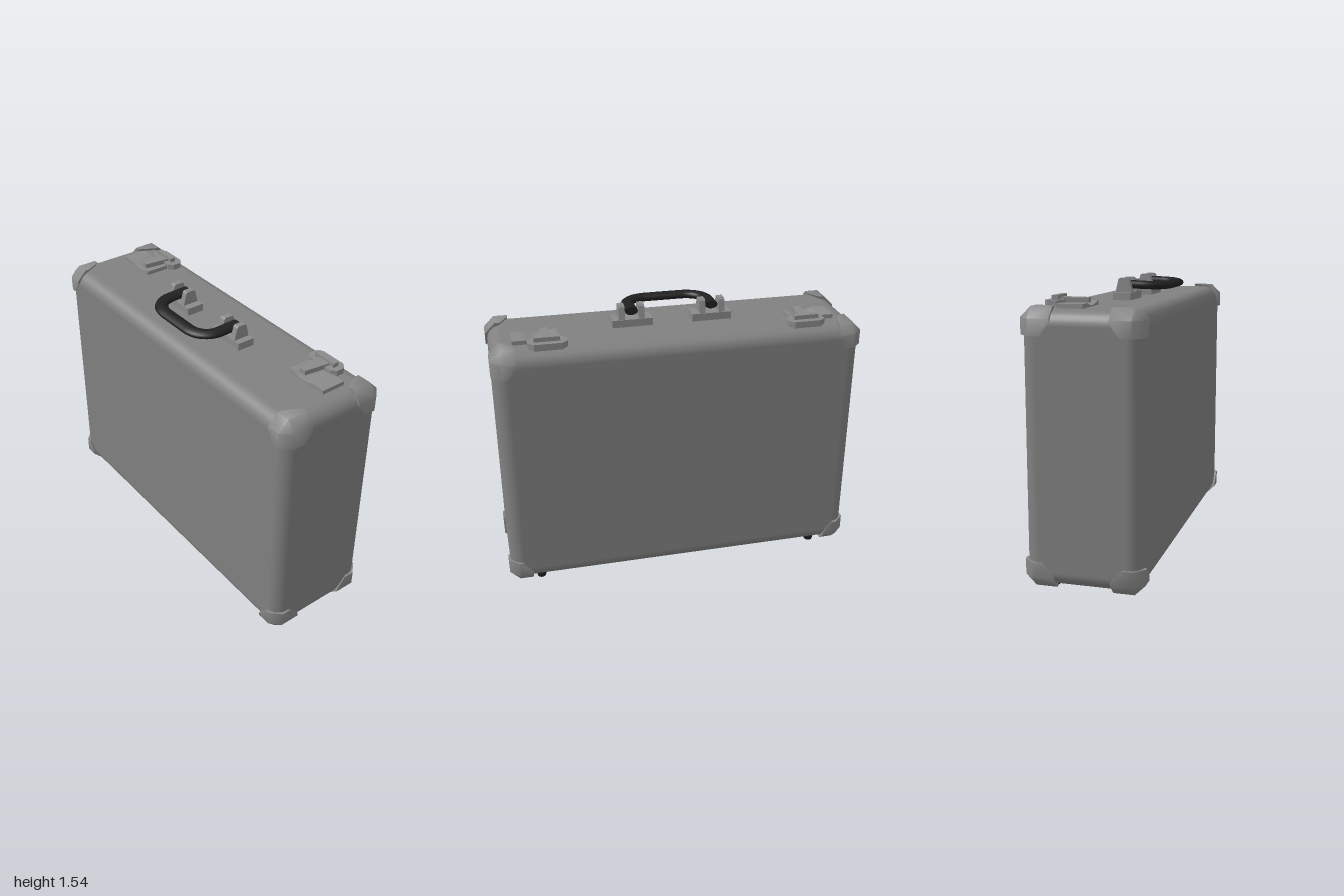
import * as THREE from 'three';
import { toCreasedNormals } from 'three/addons/utils/BufferGeometryUtils.js';
import { RoundedBoxGeometry } from 'three/addons/geometries/RoundedBoxGeometry.js';
import { ConvexGeometry } from 'three/addons/geometries/ConvexGeometry.js';

const mat = (name, color) => {
  const m = new THREE.MeshStandardMaterial({ color });
  m.name = name;
  return m;
};

// Extrude a polygon along its third axis
const extrude = (pts, depth) => new THREE.ExtrudeGeometry(
  new THREE.Shape(pts.map(([a, b]) => new THREE.Vector2(a, b))), { depth, bevelEnabled: false });

// Outline in (x, z), raised from y0 to y1
const slab = (pts, y0, y1) => extrude(pts.map(([x, z]) => [x, -z]), y1 - y0)
  .rotateX(-Math.PI / 2).translate(0, y0, 0);

// Outline in (z, y), extruded across x about a centre
const crossPiece = (pts, cx, width) => extrude(pts, width)
  .rotateY(-Math.PI / 2).translate(cx + width / 2, 0, 0);

export function createModel() {
  const shell = mat('shell grey', 0x808080);
  const metal = mat('hardware grey', 0x8a8a8a);
  const black = mat('black rubber', 0x202020);

  const model = new THREE.Group();
  model.name = 'suitcase';
  const add = (name, geometry, material, parent = model) => {
    const mesh = new THREE.Mesh(geometry, material);
    mesh.name = name;
    parent.add(mesh);
    return mesh;
  };

  // Case body
  const midY = 0.737;
  add('caseBody', new RoundedBoxGeometry(1.98, 1.374, 0.6, 4, 0.075), shell).position.y = midY;

  // Corner protectors: the offsets run inward from the outermost corner
  const C = 0.055; // outer chamfer
  const cornerPoints = [];
  const cornerFaces = [
    [[C, C], [C, 0.138], [0.085, 0.138], [0.13, 0.075], [0.13, C]],   // front: x, y
    [[C, C], [C, 0.165], [0.085, 0.165], [0.13, 0.08], [0.13, C]],    // top: x, z
    [[C, C], [C, 0.165], [0.075, 0.165], [0.138, 0.115], [0.138, C]], // side: y, z
  ];
  cornerFaces[0].forEach(([x, y]) => cornerPoints.push([x, y, 0]));
  cornerFaces[1].forEach(([x, z]) => cornerPoints.push([x, 0, z]));
  cornerFaces[2].forEach(([y, z]) => cornerPoints.push([0, y, z]));
  for (const sx of [-1, 1]) for (const sy of [-1, 1]) for (const sz of [-1, 1]) {
    const pts = cornerPoints.map(([x, y, z]) => new THREE.Vector3(
      sx * (1 - x), midY + sy * (0.702 - y), sz * (0.312 - z)));
    add('cornerProtector', toCreasedNormals(new ConvexGeometry(pts), 0.97), metal);
  }

  // Feet
  for (const x of [-0.82, 0.82]) for (const z of [-0.2, 0.2]) {
    add('foot', new THREE.CylinderGeometry(0.036, 0.024, 0.06, 10), black).position.set(x, 0.03, z);
  }

  // Carrying handle, folded down to the front
  const path = new THREE.CurvePath();
  const v = (x, z) => new THREE.Vector3(x, 0, z);
  path.add(new THREE.LineCurve3(v(-0.222, -0.012), v(-0.222, 0.1)));
  path.add(new THREE.CubicBezierCurve3(v(-0.222, 0.1), v(-0.222, 0.165), v(-0.17, 0.213), v(-0.1, 0.213)));
  path.add(new THREE.LineCurve3(v(-0.1, 0.213), v(0.1, 0.213)));
  path.add(new THREE.CubicBezierCurve3(v(0.1, 0.213), v(0.17, 0.213), v(0.222, 0.165), v(0.222, 0.1)));
  path.add(new THREE.LineCurve3(v(0.222, 0.1), v(0.222, -0.012)));
  const handle = add('handle', new THREE.TubeGeometry(path, 48, 0.036, 12), black);
  handle.scale.y = 0.62;
  handle.rotation.x = 0.035;
  handle.position.y = 1.504;

  // Flat end caps closing the handle tube
  for (const s of [-1, 1]) {
    const cap = add('handleEnd', new THREE.CircleGeometry(0.036, 12), black, handle);
    cap.rotation.y = Math.PI;
    cap.position.set(s * 0.222, 0, -0.012);
  }

  for (const s of [-1, 1]) {
    // Handle mount: base plate with two tapered lugs
    const mount = new THREE.Group();
    mount.name = 'handleMount';
    model.add(mount);
    add('mountBase', new THREE.BoxGeometry(0.22, 0.05, 0.098), metal, mount)
      .position.set(s * 0.22, 1.44, 0.014);
    const lug = [[-0.033, 1.45], [0.06, 1.45], [0.06, 1.466], [0.044, 1.53], [0.036, 1.539],
      [-0.008, 1.539], [-0.016, 1.53], [-0.03, 1.466]];
    for (const x of [0.277, 0.169]) add('mountLug', crossPiece(lug, s * x, 0.033), metal, mount);

    // Latch: dished plate, catch, lever and raised hook
    const latch = new THREE.Group();
    latch.name = 'latch';
    model.add(latch);
    const dish = [[0.875, 1.415], [0.63, 1.415], [0.63, 1.446]];
    for (let i = 0; i <= 8; i++) {
      const t = i / 8;
      dish.push([0.645 + 0.16 * t, 1.446 - 0.016 * Math.sin(Math.PI * t)]);
    }
    dish.push([0.875, 1.446]);
    const plate = extrude(dish.map(([x, y]) => [s * x, y]), 0.135).translate(0, 0, -0.155);
    add('latchPlate', toCreasedNormals(plate, 0.5), metal, latch);
    const flip = (pts) => pts.map(([x, z]) => [s * x, z]);
    add('latchCatch', slab(flip([[0.595, -0.18], [0.595, -0.225], [0.625, -0.25], [0.77, -0.25],
      [0.8, -0.225], [0.8, -0.18], [0.775, -0.157], [0.62, -0.157]]), 1.415, 1.455), metal, latch);
    add('latchLever', slab(flip([[0.66, -0.2], [0.74, -0.2], [0.718, -0.043], [0.68, -0.043]]),
      1.44, 1.466), metal, latch);
    add('latchHook', new THREE.BoxGeometry(0.136, 0.032, 0.032), metal, latch)
      .position.set(s * 0.7, 1.462, -0.2);
  }
  return model;
}
